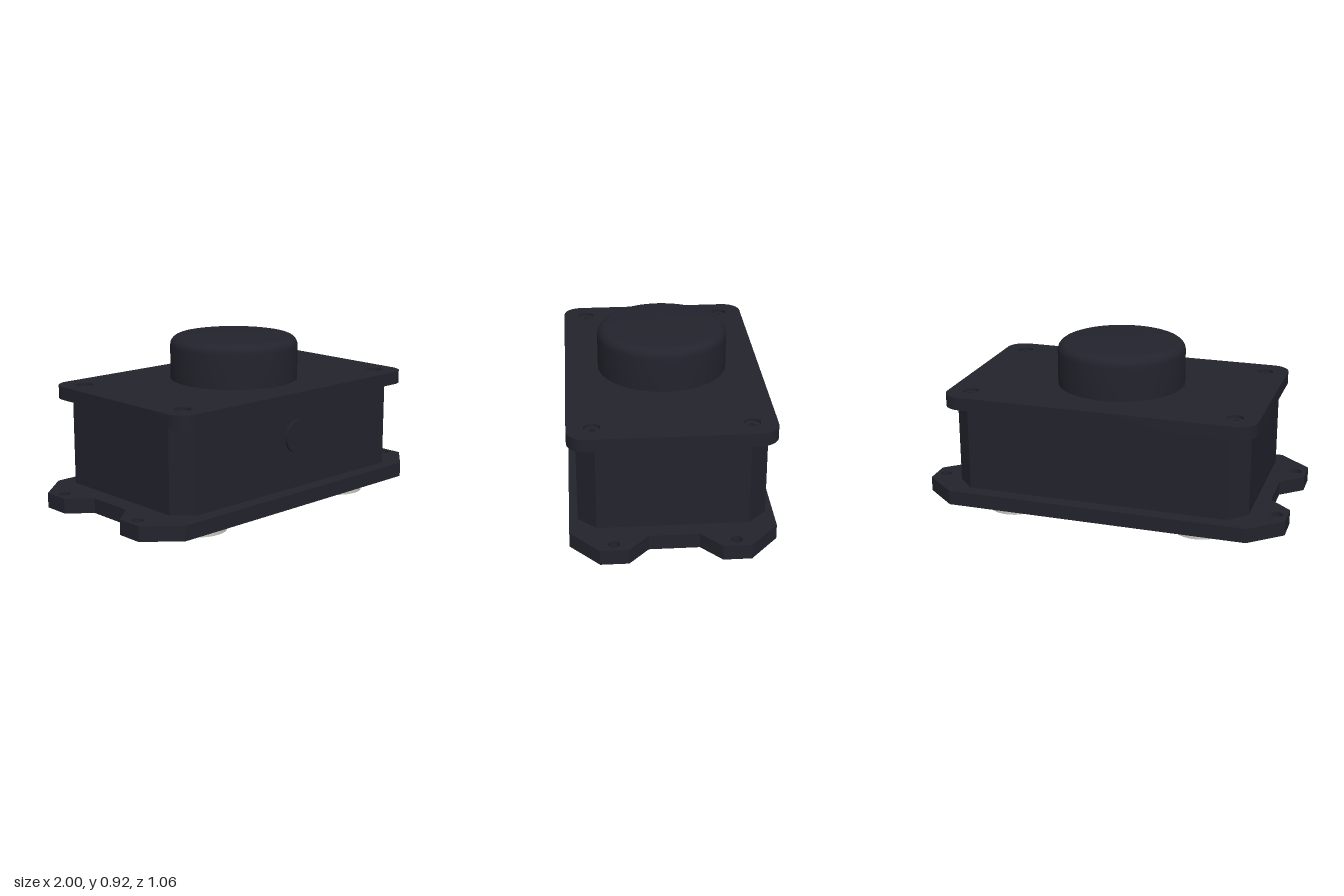
import * as THREE from 'three';
import { toCreasedNormals } from 'three/addons/utils/BufferGeometryUtils.js';

export function createModel() {
  const model = new THREE.Group();
  const dark = new THREE.MeshStandardMaterial({ color: 0x23232d });
  const pale = new THREE.MeshStandardMaterial({ color: 0xc9c9c1 });
  dark.name = 'dark plastic';
  pale.name = 'pale rubber';

  const add = (name, geometry, material, x = 0, y = 0, z = 0) => {
    const mesh = new THREE.Mesh(geometry, material);
    mesh.name = name;
    mesh.position.set(x, y, z);
    model.add(mesh);
    return mesh;
  };
  // Flat outline raised into a slab from y0 to y1
  const slab = (shape, y0, y1) => {
    const g = new THREE.ExtrudeGeometry(shape, { depth: y1 - y0, bevelEnabled: false, curveSegments: 12 });
    g.rotateX(-Math.PI / 2).translate(0, y0, 0);
    return toCreasedNormals(g, 0.6);
  };
  const polygon = (points) => new THREE.Shape(points.map(([x, y]) => new THREE.Vector2(x, y)));
  // Completes one quarter outline by mirroring it in both axes
  const mirrored = (q) => {
    const half = [...q, ...[...q].reverse().map(([x, y]) => [-x, y])];
    return polygon([...half, ...[...half].reverse().map(([x, y]) => [x, -y])]);
  };
  const corners = (x, z) => [[x, z], [-x, z], [-x, -z], [x, -z]];
  const pierce = (shape, x, z, r) => {
    for (const [cx, cz] of corners(x, z)) {
      shape.holes.push(new THREE.Path().absarc(cx, cz, r, 0, Math.PI * 2, true));
    }
  };

  // Mounting plate with four drilled ears
  const plate = mirrored([[0.88, 0.13], [1, 0.235], [1, 0.38], [0.825, 0.53]]);
  pierce(plate, 0.943, 0.307, 0.03);
  add('mountingPlate', slab(plate, 0.06, 0.14), dark);

  // Housing with chamfered vertical corners
  add('housing', slab(mirrored([[0.81, 0.39], [0.715, 0.485]]), 0.155, 0.615), dark);

  // Lid with rounded corners and screw recesses
  const w = 0.85, d = 0.53, r = 0.1;
  const lid = new THREE.Shape();
  lid.absarc(w - r, d - r, r, 0, Math.PI / 2);
  lid.absarc(-w + r, d - r, r, Math.PI / 2, Math.PI);
  lid.absarc(-w + r, -d + r, r, Math.PI, Math.PI * 1.5);
  lid.absarc(w - r, -d + r, r, Math.PI * 1.5, Math.PI * 2);
  lid.closePath();
  pierce(lid, 0.725, 0.4, 0.043);
  add('lid', slab(lid, 0.615, 0.685), dark);

  // Screw heads with hexagonal sockets, sunk in the lid
  const head = new THREE.Shape().absarc(0, 0, 0.043, 0, Math.PI * 2);
  const hex = Array.from({ length: 6 }, (_, i) => {
    const a = -i * Math.PI / 3;
    return new THREE.Vector2(0.02 * Math.cos(a), 0.02 * Math.sin(a));
  });
  head.holes.push(new THREE.Path(hex));
  const screw = slab(head, 0.615, 0.67);
  for (const [x, z] of corners(0.725, 0.4)) add('screw', screw, dark, x, 0, z);

  // Large round push knob with a filleted rim
  const profile = [new THREE.Vector2(0.35, 0.68)];
  for (let i = 0; i <= 6; i++) {
    const a = (i / 6) * Math.PI / 2;
    profile.push(new THREE.Vector2(0.3 + 0.05 * Math.cos(a), 0.87 + 0.05 * Math.sin(a)));
  }
  profile.push(new THREE.Vector2(0, 0.92));
  add('knob', toCreasedNormals(new THREE.LatheGeometry(profile, 64), 0.6), dark);

  // Round plug on the front wall
  const plug = add('frontPlug', new THREE.CylinderGeometry(0.088, 0.088, 0.03, 40), dark, 0, 0.438, 0.482);
  plug.rotation.x = Math.PI / 2;

  // Rubber feet
  const foot = new THREE.CylinderGeometry(0.147, 0.147, 0.06, 32);
  for (const [x, z] of corners(0.53, 0.295)) add('foot', foot, pale, x, 0.03, z);

  return model;
}
